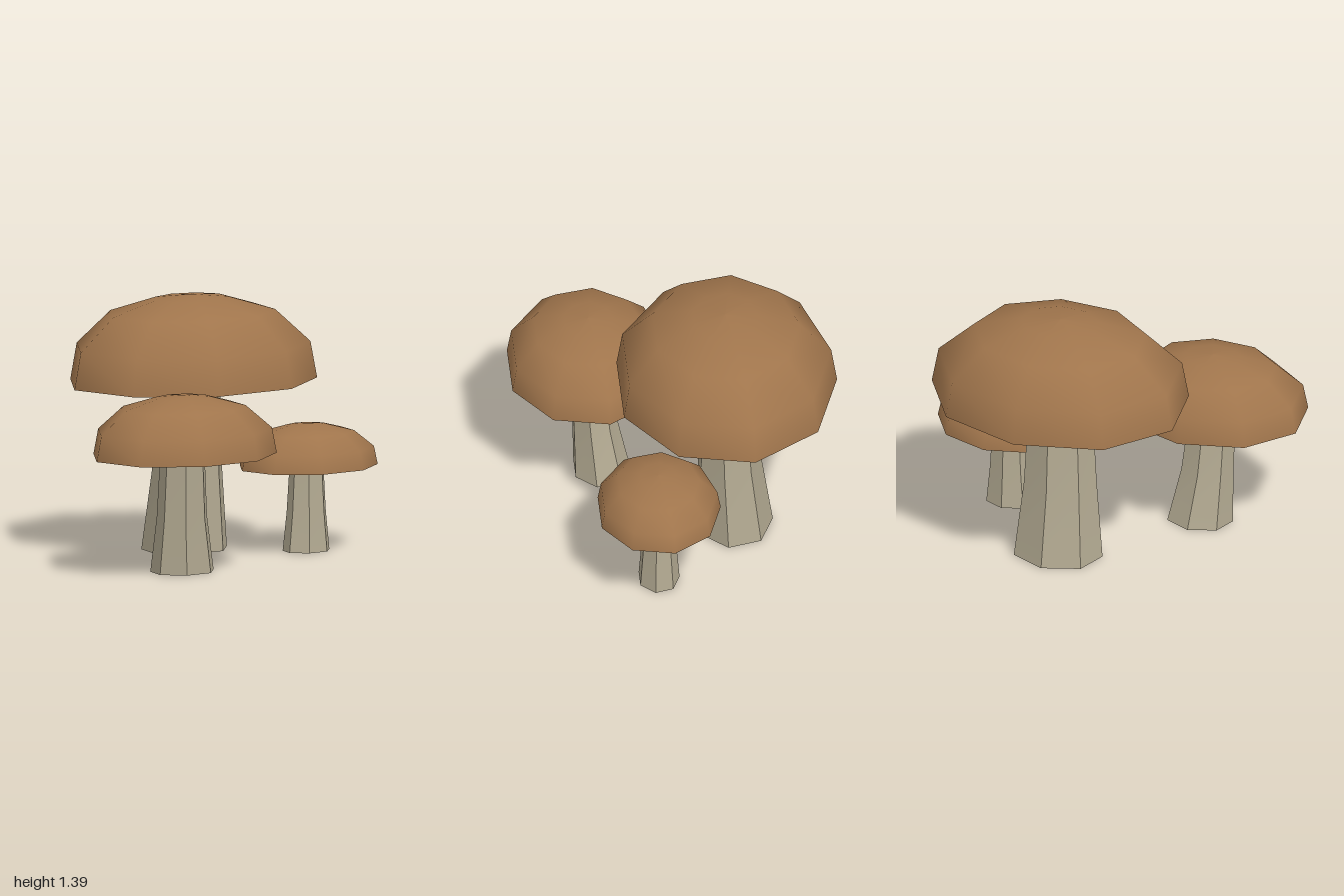
import * as THREE from 'three';
import { toCreasedNormals } from 'three/addons/utils/BufferGeometryUtils.js';

// Cap outline: [share of radius, share of height]
const CAP_PROFILE = [[1, 0], [0.947, 0.42], [0.667, 0.8], [0.3, 0.96], [0, 1]]
  .map(([r, h]) => new THREE.Vector2(r, h));

// cap: centre x, z, radii x, z, underside and top heights
// stem: rings from the ground up as [x, y, z, radius x, radius z]
const MUSHROOMS = [
  {
    name: 'largeMushroom',
    cap: { x: -0.257, z: -0.121, rx: 0.606, rz: 0.724, y0: 0.92, y1: 1.395 },
    stem: [[-0.302, 0, -0.117, 0.213, 0.253], [-0.276, 0.43, -0.115, 0.174, 0.208], [-0.26, 0.93, -0.12, 0.151, 0.18]],
  },
  {
    name: 'mediumMushroom',
    cap: { x: 0.438, z: 0.468, rx: 0.452, rz: 0.537, y0: 0.645, y1: 0.975 },
    stem: [[0.373, 0, 0.42, 0.158, 0.187], [0.408, 0.3, 0.449, 0.125, 0.149], [0.437, 0.655, 0.468, 0.111, 0.131]],
  },
  {
    name: 'smallMushroom',
    cap: { x: 0.146, z: -0.603, rx: 0.338, rz: 0.405, y0: 0.46, y1: 0.695 },
    stem: [[0.145, 0, -0.6, 0.114, 0.139], [0.145, 0.21, -0.601, 0.097, 0.116], [0.145, 0.47, -0.602, 0.084, 0.1]],
  },
];

function makeMesh(name, geometry, material) {
  const mesh = new THREE.Mesh(geometry, material);
  mesh.name = name;
  return mesh;
}

// Open seven-sided tube that leans and tapers through three rings
function stemGeometry(rings) {
  const geometry = new THREE.CylinderGeometry(1, 1, 2, 7, 2, true, -Math.PI / 2);
  const pos = geometry.attributes.position;
  for (let i = 0; i < pos.count; i++) {
    const [x, y, z, rx, rz] = rings[Math.round(pos.getY(i)) + 1];
    pos.setXYZ(i, x + pos.getX(i) * rx, y, z + pos.getZ(i) * rz);
  }
  return toCreasedNormals(geometry, Math.PI / 6);
}

export function createModel() {
  const capBrown = new THREE.MeshStandardMaterial({ color: 0xa0754c });
  capBrown.name = 'capBrown';
  const gillDark = new THREE.MeshStandardMaterial({ color: 0x554f45 });
  gillDark.name = 'gillDark';
  const stemBeige = new THREE.MeshStandardMaterial({ color: 0xb3aa92, side: THREE.DoubleSide });
  stemBeige.name = 'stemBeige';

  const model = new THREE.Group();
  model.name = 'mushroomCluster';

  for (const { name, cap, stem } of MUSHROOMS) {
    const mushroom = new THREE.Group();
    mushroom.name = name;

    // Smooth nine-sided oval dome
    const dome = new THREE.LatheGeometry(CAP_PROFILE, 9, -Math.PI / 2);
    dome.scale(cap.rx, cap.y1 - cap.y0, cap.rz).translate(cap.x, cap.y0, cap.z);

    // Flat underside
    const underside = new THREE.CircleGeometry(1, 9, Math.PI);
    underside.rotateX(Math.PI / 2).scale(cap.rx, 1, cap.rz).translate(cap.x, cap.y0, cap.z);

    mushroom.add(
      makeMesh('cap', dome, capBrown),
      makeMesh('capUnderside', underside, gillDark),
      makeMesh('stem', stemGeometry(stem), stemBeige),
    );
    model.add(mushroom);
  }
  return model;
}
